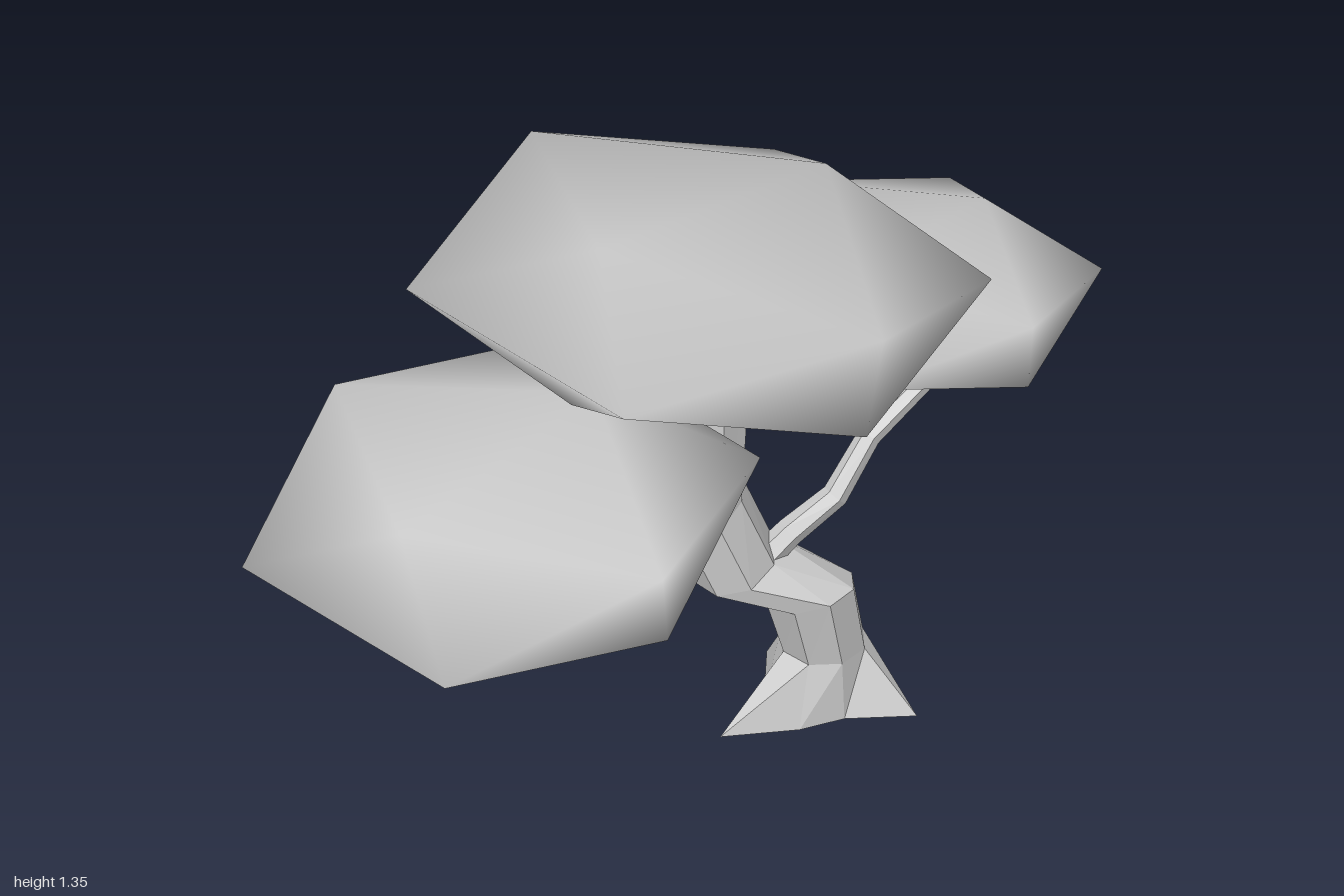
import * as THREE from 'three';
import { mergeVertices } from 'three/addons/utils/BufferGeometryUtils.js';

const SIDES = 8;
const barkMaterial = new THREE.MeshStandardMaterial({ color: 0xcccccc, flatShading: true });
const leafMaterial = new THREE.MeshStandardMaterial({ color: 0xcccccc });

// Closed skin through rings of points, each counter-clockwise about the growth direction.
function loft(rings) {
  const positions = [];
  const tri = (...corners) => corners.forEach((p) => positions.push(p.x, p.y, p.z));
  const centre = (ring) =>
    ring.reduce((sum, p) => sum.add(p), new THREE.Vector3()).divideScalar(ring.length);
  const first = rings[0], last = rings[rings.length - 1];
  const bottom = centre(first), top = centre(last);
  const n = first.length;
  for (let i = 0; i < n; i++) {
    const j = (i + 1) % n;
    for (let k = 0; k < rings.length - 1; k++) {
      const lower = rings[k], upper = rings[k + 1];
      tri(lower[i], lower[j], upper[j]);
      tri(lower[i], upper[j], upper[i]);
    }
    tri(bottom, first[j], first[i]);
    tri(top, last[i], last[j]);
  }
  const geometry = new THREE.BufferGeometry();
  geometry.setAttribute('position', new THREE.Float32BufferAttribute(positions, 3));
  geometry.computeVertexNormals();
  return geometry;
}

// Trunk: star-shaped root outline, then leaning eight-sided rings.
function makeTrunk() {
  const roots = [
    [0.33, 0.34], [0.29, 0.11], [0.43, 0.05], [0.27, -0.03],
    [0.17, 0.06], [0, 0.1], [0.13, 0.2], [0.22, 0.24],
  ].map(([x, z]) => new THREE.Vector3(x, 0, z));

  // centre x, y, z, radius, slope along x, slope along z
  const levels = [
    [0.25, 0.14, 0.15, 0.09, 0, 0],
    [0.215, 0.285, 0.147, 0.095, 0.05, 0.3],
    [0.085, 0.39, 0.05, 0.092, 0.35, -0.1],
    [0.03, 0.55, 0.02, 0.085, 0.6, 0],
    [0.055, 0.89, 0, 0.1, 0.3, 0],
  ];
  const rings = levels.map(([x, y, z, r, slopeX, slopeZ]) =>
    Array.from({ length: SIDES }, (_, i) => {
      const angle = THREE.MathUtils.degToRad(65 - (i * 360) / SIDES);
      const dx = r * Math.cos(angle), dz = r * Math.sin(angle);
      return new THREE.Vector3(x + dx, y + slopeX * dx + slopeZ * dz, z + dz);
    }));
  return loft([roots, ...rings]);
}

// Branch: tapering six-sided rings square to a bent path.
function makeBranch(path, startRadius, endRadius) {
  const points = path.map((p) => new THREE.Vector3(...p));
  const up = new THREE.Vector3(0, 1, 0);
  const rings = points.map((p, k) => {
    const before = points[Math.max(k - 1, 0)];
    const after = points[Math.min(k + 1, points.length - 1)];
    const turn = new THREE.Quaternion().setFromUnitVectors(up, after.clone().sub(before).normalize());
    const r = THREE.MathUtils.lerp(startRadius, endRadius, k / (points.length - 1));
    return Array.from({ length: 6 }, (_, i) => {
      const angle = (i * Math.PI) / 3;
      return new THREE.Vector3(r * Math.cos(angle), 0, -r * Math.sin(angle))
        .applyQuaternion(turn).add(p);
    });
  });
  return loft(rings);
}

// Leaf pad: flattened, smooth-shaded icosahedron.
function makePad(sx, sy, sz) {
  const golden = (1 + Math.sqrt(5)) / 2;
  let geometry = new THREE.IcosahedronGeometry(Math.hypot(1, golden), 0);
  geometry.deleteAttribute('normal');
  geometry.deleteAttribute('uv');
  geometry = mergeVertices(geometry, 1e-3);
  geometry.scale(sx, sy, sz);
  geometry.computeVertexNormals();
  return geometry;
}

export function createModel() {
  const tree = new THREE.Group();
  tree.name = 'tree';
  const add = (name, geometry, material) => {
    const mesh = new THREE.Mesh(geometry, material);
    mesh.name = name;
    tree.add(mesh);
    return mesh;
  };

  add('trunk', makeTrunk(), barkMaterial);
  add('leftBranch', makeBranch(
    [[0.13, 0.38, 0.09], [0.19, 0.435, 0.115], [0.28, 0.5, 0.155], [0.37, 0.61, 0.165], [0.53, 0.7, 0.19]],
    0.033, 0.022), barkMaterial);
  add('rightBranch', makeBranch(
    [[0.02, 0.51, 0.06], [-0.13, 0.575, 0.1], [-0.2, 0.68, 0.1], [-0.32, 0.74, 0.11]],
    0.026, 0.02), barkMaterial);

  // name, centre, tilt in degrees, half sizes
  const pads = [
    ['topFoliage', [0.04, 1.097, 0], -12.6, [0.342, 0.113, 0.31]],
    ['rightFoliage', [-0.54, 0.83, 0], 5, [0.287, 0.082, 0.289]],
    ['leftFoliage', [0.652, 0.755, 0], -6, [0.216, 0.073, 0.217]],
  ];
  for (const [name, centre, tilt, size] of pads) {
    const pad = add(name, makePad(...size), leafMaterial);
    pad.position.set(...centre);
    pad.rotation.z = THREE.MathUtils.degToRad(tilt);
  }
  return tree;
}
